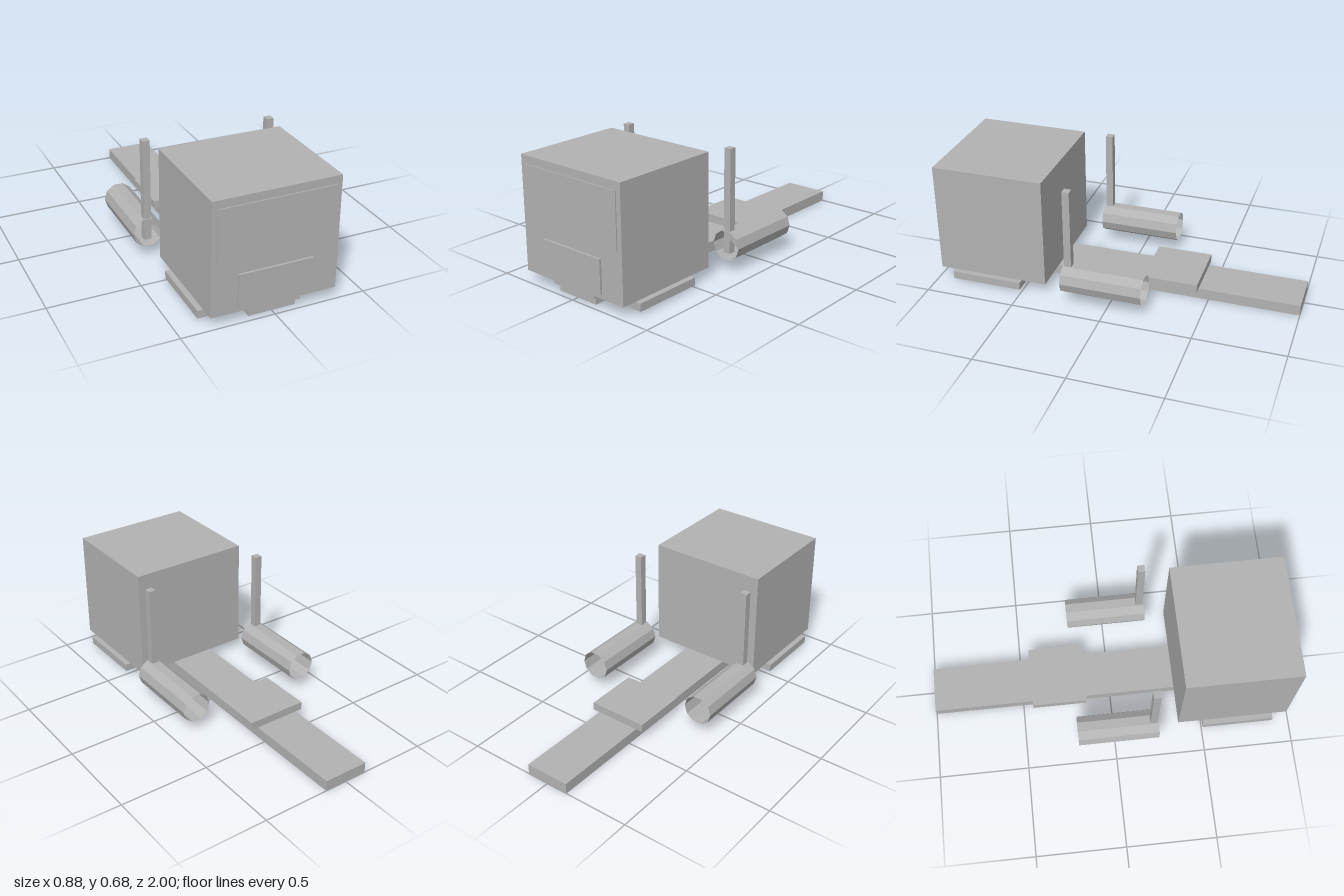
import * as THREE from 'three';

export function createModel() {
  const group = new THREE.Group();
  const grey = new THREE.MeshStandardMaterial({ color: 0xb2b2b2, side: THREE.DoubleSide, flatShading: true });
  grey.name = 'plain grey';

  const add = (name, geometry, parent = group) => {
    const mesh = new THREE.Mesh(geometry, grey);
    mesh.name = name;
    parent.add(mesh);
    return mesh;
  };

  // Box given by its limits on each axis
  const box = (name, x0, x1, y0, y1, z0, z1, parent) =>
    add(name, new THREE.BoxGeometry(x1 - x0, y1 - y0, z1 - z0), parent)
      .position.set((x0 + x1) / 2, (y0 + y1) / 2, (z0 + z1) / 2);

  // Frame and cab
  box('chassis', -0.127, 0.127, 0, 0.06, -1, 0.963);
  box('cab', -0.34, 0.34, 0.06, 0.68, 0.367, 0.988);
  box('frontLip', -0.142, 0.142, 0.045, 0.06, 0.955, 0.988);
  box('steps', -0.37, 0.37, 0.016, 0.059, 0.507, 0.904);
  box('windshield', -0.312, 0.312, 0.339, 0.636, 0.987, 0.994);
  box('grille', -0.2, 0.2, 0.087, 0.271, 0.987, 1);

  // Trailer coupling
  box('couplingPlate', -0.168, 0.168, 0.06, 0.105, -0.443, -0.137);

  // Open ten-sided fuel tanks with an exhaust stack rising from each
  const radius = 0.083, length = 0.45;
  for (const [side, x] of [['right', -0.355], ['left', 0.355]]) {
    const tank = new THREE.Group();
    tank.name = side + 'TankAssembly';
    tank.position.set(x, 0.145, 0.02);
    group.add(tank);

    const shell = new THREE.CylinderGeometry(radius, radius, length, 10, 1, true, Math.PI / 2);
    add(side + 'Tank', shell.rotateX(Math.PI / 2), tank);

    // Partial front cover spanning three of the ten sides
    const corners = [0, 1, 2, 3].map((i) => new THREE.Vector2(
      radius * Math.cos(i * Math.PI / 5), radius * Math.sin(i * Math.PI / 5)));
    add(side + 'TankCover', new THREE.ShapeGeometry(new THREE.Shape(corners)), tank)
      .position.z = length / 2;

    box(side + 'Exhaust', -0.02, 0.02, -0.044, 0.525, 0.178, 0.218, tank);
  }

  return group;
}
